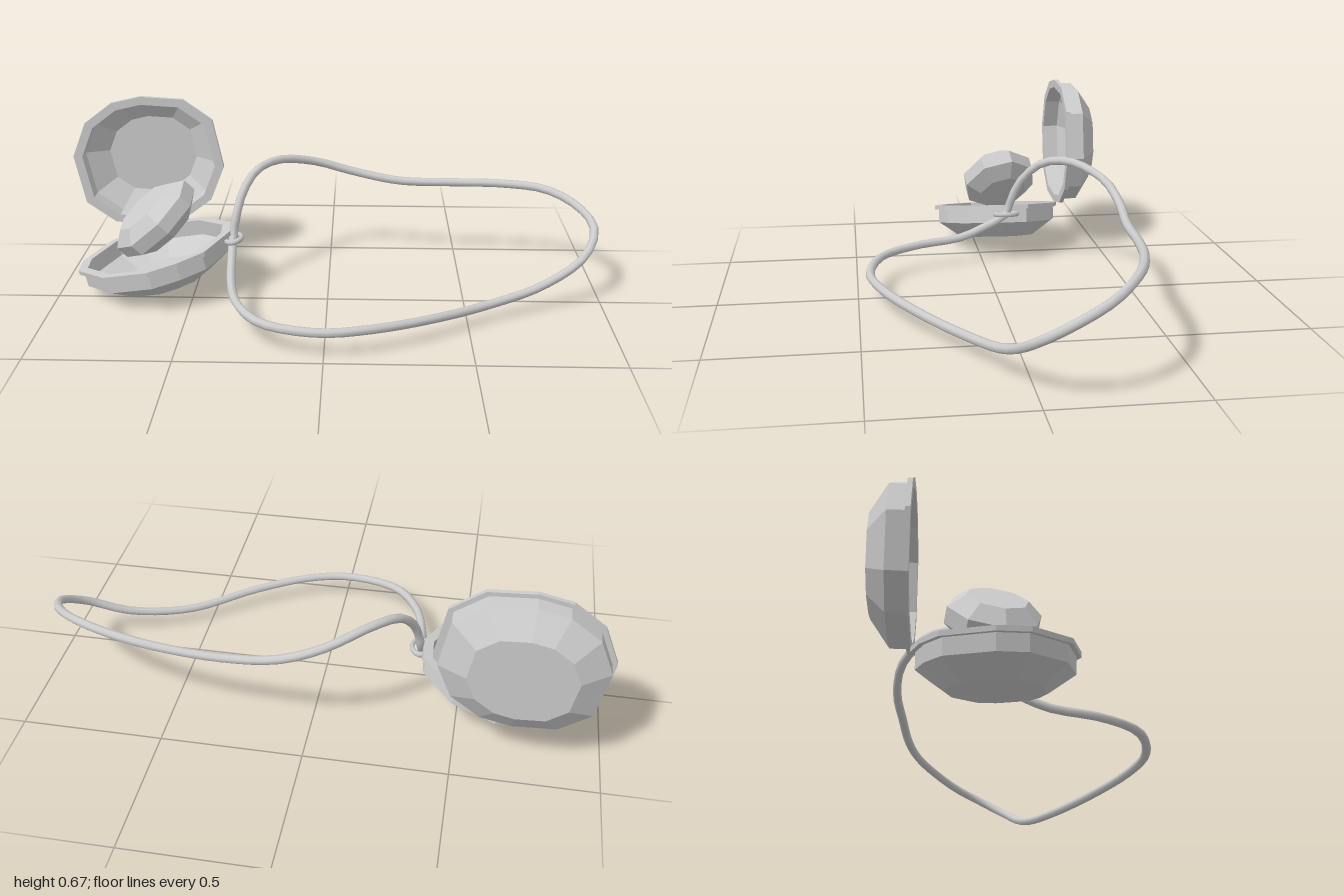
import * as THREE from 'three';

const metal = new THREE.MeshStandardMaterial({ color: 0xcccccc, flatShading: true, side: THREE.DoubleSide });
const smooth = new THREE.MeshStandardMaterial({ color: 0xcccccc });

// Lofts an outline [x, z] along a profile of [scale, height] rings.
function loft(outline, profile) {
  const n = outline.length;
  const position = [];
  const index = [];
  for (const [s, h] of profile) {
    for (const [x, z] of outline) position.push(x * s, h, z * s);
  }
  for (let i = 0; i < profile.length - 1; i++) {
    for (let j = 0; j < n; j++) {
      const a = i * n + j;
      const b = i * n + (j + 1) % n;
      if (profile[i + 1][0] > 0) index.push(a, a + n, b + n);
      if (profile[i][0] > 0) index.push(a, b + n, b);
    }
  }
  const geometry = new THREE.BufferGeometry();
  geometry.setAttribute('position', new THREE.Float32BufferAttribute(position, 3));
  geometry.setIndex(index);
  const flat = geometry.toNonIndexed();
  flat.computeVertexNormals();
  return flat;
}

// Completes a half outline by point symmetry.
const whole = (half) => [...half, ...half.map(([x, z]) => [-x, -z])];

// Hollow shell: flat bottom, bevel, wall, protruding rim, then the inside
const shellProfile = [
  [0, -0.13], [0.61, -0.13], [0.94, -0.07], [0.94, -0.016], [1, -0.016], [1, 0],
  [0.88, 0], [0.88, -0.06], [0.59, -0.112], [0, -0.112],
];

const stoneProfile = [
  [0, -0.068], [0.66, -0.068], [1, -0.026], [1, 0.026], [0.66, 0.068], [0, 0.068],
];

const baseHalf = [[0.288, 0.01], [0.211, 0.17], [0.118, 0.226], [0.01, 0.258], [-0.159, 0.216], [-0.283, 0.09]];
const lidHalf = [[-0.292, -0.019], [-0.239, -0.152], [-0.132, -0.233], [-0.02, -0.259], [0.141, -0.249], [0.253, -0.169]];

// Closed path of the cord, starting at the clasp and running round the back
const cordPath = [
  [-0.355, 0.21, -0.09], [-0.345, 0.28, -0.11], [-0.325, 0.36, -0.15], [-0.28, 0.43, -0.22],
  [-0.2, 0.45, -0.31], [-0.06, 0.415, -0.405], [0.086, 0.368, -0.43], [0.27, 0.335, -0.415],
  [0.49, 0.335, -0.4], [0.67, 0.342, -0.37], [0.83, 0.34, -0.31], [0.94, 0.305, -0.21],
  [0.98, 0.26, -0.1], [0.93, 0.19, 0], [0.78, 0.11, 0.07], [0.57, 0.075, 0.17],
  [0.35, 0.087, 0.32], [0.14, 0.098, 0.425], [-0.02, 0.1, 0.455], [-0.21, 0.105, 0.4],
  [-0.305, 0.112, 0.265], [-0.345, 0.125, 0.09], [-0.352, 0.165, -0.01],
];

export function createModel() {
  const model = new THREE.Group();
  model.name = 'openLocket';

  const add = (name, geometry, material, position = [0, 0, 0], rotation = [0, 0, 0]) => {
    const mesh = new THREE.Mesh(geometry, material);
    mesh.name = name;
    mesh.position.set(...position);
    mesh.rotation.set(...rotation);
    model.add(mesh);
    return mesh;
  };

  // Base lies tilted, lid stands upright behind it
  add('base', loft(whole(baseHalf), shellProfile), metal, [-0.645, 0.178, -0.09], [0, 0, 0.233]);
  add('lid', loft(whole(lidHalf), shellProfile), metal, [-0.705, 0.425, -0.345], [Math.PI / 2, 0, 0]);

  // Faceted stone leaning in the base
  const stoneOutline = [];
  for (let i = 0; i < 8; i++) {
    const a = (i + 0.5) * Math.PI / 4;
    stoneOutline.push([0.185 * Math.cos(a), 0.15 * Math.sin(a)]);
  }
  add('stone', loft(stoneOutline, stoneProfile), metal, [-0.642, 0.283, -0.1], [0.22, 0, 0.74]);

  // Ring that ties the cord to the rim
  const ring = new THREE.TorusGeometry(0.036, 0.01, 6, 12).rotateX(Math.PI / 2);
  add('clasp', ring, smooth, [-0.352, 0.212, -0.09], [0, 0, 0.15]).scale.set(0.85, 1, 1.15);

  // Cord
  const curve = new THREE.CatmullRomCurve3(cordPath.map((p) => new THREE.Vector3(...p)), true);
  add('cord', new THREE.TubeGeometry(curve, 72, 0.016, 8, true), smooth);

  return model;
}
